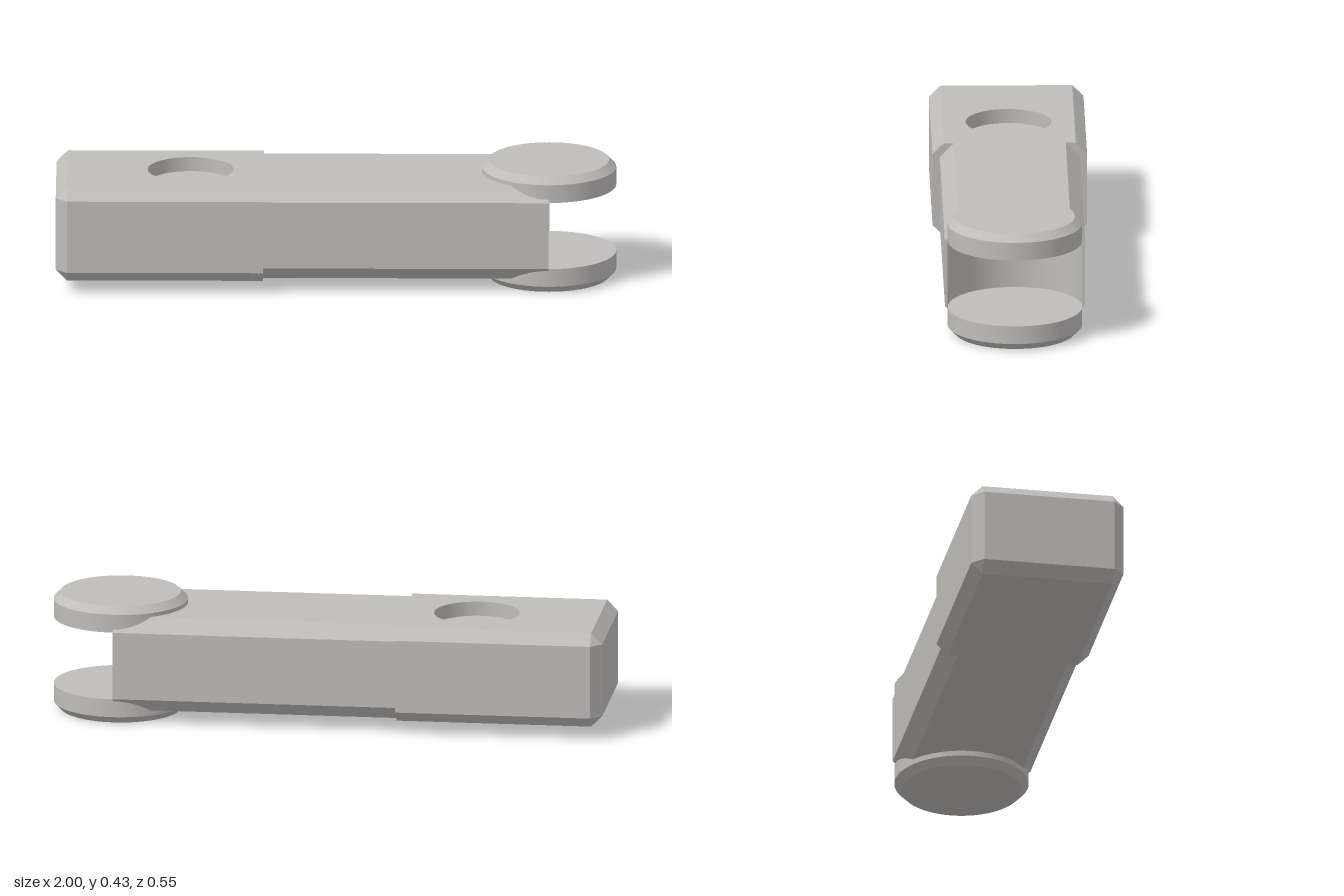
import * as THREE from 'three';
import { toCreasedNormals } from 'three/addons/utils/BufferGeometryUtils.js';

const TOP = 0.39, BOTTOM = 0.045;
const PIVOT_X = 0.76, PIVOT_R = 0.24;
const HEAD_START = -1, HEAD_END = -0.26;

// Collects flat quads (corners counter-clockwise from outside)
function quadBuilder() {
  const pos = [];
  return {
    quad(a, b, c, d) { pos.push(...a, ...b, ...c, ...a, ...c, ...d); },
    build() {
      const g = new THREE.BufferGeometry();
      g.setAttribute('position', new THREE.Float32BufferAttribute(pos, 3));
      g.computeVertexNormals();
      return g;
    },
  };
}

// Chamfered head block; the top face is left open for the drilled plate
function headGeometry(w, c) {
  const { quad, build } = quadBuilder();
  const wi = w - c, hi = TOP - c, lo = BOTTOM + c;
  const full = [[wi, TOP], [w, hi], [w, lo], [wi, BOTTOM], [-wi, BOTTOM], [-w, lo], [-w, hi], [-wi, TOP]];
  const small = full.map(([z, y]) => [Math.sign(z) * wi, THREE.MathUtils.clamp(y, lo, hi)]);
  const ring = (pts, x) => pts.map(([z, y]) => [x, y, z]);
  const rings = [ring(small, HEAD_START), ring(full, HEAD_START + c), ring(full, HEAD_END)];
  for (let s = 0; s < 2; s++) {
    for (let i = 0; i < 8; i++) {
      if (s === 1 && i === 7) continue;
      const j = (i + 1) % 8;
      quad(rings[s][i], rings[s][j], rings[s + 1][j], rings[s + 1][i]);
    }
  }
  const [e, , m] = rings;
  quad(e[7], e[4], e[3], e[0]);
  quad(m[0], m[1], m[6], m[7]);
  quad(m[1], m[2], m[5], m[6]);
  quad(m[2], m[3], m[4], m[5]);
  return build();
}

// Chamfered arm whose far end is scooped out to fit the round pivot
function armGeometry(w, c) {
  const { quad, build } = quadBuilder();
  const zs = [-w, w, c - w, w - c];
  for (let i = 0; i <= 40; i++) zs.push(PIVOT_R * Math.sin((i / 40 - 0.5) * Math.PI));
  zs.sort((a, b) => a - b);
  const columns = zs.map((z) => {
    const drop = Math.max(0, Math.abs(z) - (w - c));
    const x = PIVOT_X - Math.sqrt(Math.max(0, PIVOT_R ** 2 - z * z));
    const t = TOP - drop, b = BOTTOM + drop;
    return { t0: [HEAD_END, t, z], t1: [x, t, z], b0: [HEAD_END, b, z], b1: [x, b, z] };
  });
  for (let i = 0; i < columns.length - 1; i++) {
    const p = columns[i], q = columns[i + 1];
    quad(p.t0, q.t0, q.t1, p.t1);
    quad(q.b0, p.b0, p.b1, q.b1);
    quad(q.t1, q.b1, p.b1, p.t1);
  }
  const back = columns[0], front = columns[columns.length - 1];
  quad(front.t0, front.b0, front.b1, front.t1);
  quad(back.t1, back.b1, back.b0, back.t0);
  return toCreasedNormals(build(), 0.5);
}

export function createModel() {
  const model = new THREE.Group();
  model.name = 'pivotArm';
  const grey = new THREE.MeshStandardMaterial({ color: 0xbfbdba });
  grey.name = 'warmGrey';
  const add = (name, geometry, x = 0, y = 0, parent = model) => {
    const mesh = new THREE.Mesh(geometry, grey);
    mesh.name = name;
    mesh.position.set(x, y, 0);
    parent.add(mesh);
    return mesh;
  };

  // Head with a shallow round recess
  const head = new THREE.Group();
  head.name = 'head';
  model.add(head);
  const width = 0.276, chamfer = 0.04;
  const holeX = -0.52, holeR = 0.153, depth = 0.052;
  add('headBlock', headGeometry(width, chamfer), 0, 0, head);

  const zi = width - chamfer, x0 = HEAD_START + chamfer;
  const plate = new THREE.Shape([[x0, -zi], [HEAD_END, -zi], [HEAD_END, zi], [x0, zi]]
    .map(([x, y]) => new THREE.Vector2(x, y)));
  plate.holes.push(new THREE.Path().absarc(holeX, 0, holeR, 0, Math.PI * 2, true));
  add('headTop', new THREE.ShapeGeometry(plate, 32).rotateX(-Math.PI / 2), 0, TOP, head);

  const r = holeR;
  const recess = [[r, 0], [r, -depth], [0, -depth]].map(([x, y]) => new THREE.Vector2(x, y));
  // Profile runs downwards and inwards, so the faces point into the recess
  add('recess', toCreasedNormals(new THREE.LatheGeometry(recess, 64), 0.5), holeX, TOP, head);

  // Arm
  add('arm', armGeometry(0.25, 0.05));

  // Pair of pivot discs, each chamfered on its outer face
  const discH = 0.092, bevel = 0.026;
  const disc = [[0, 0], [PIVOT_R, 0], [PIVOT_R, discH - bevel], [PIVOT_R - bevel, discH], [0, discH]]
    .map(([x, y]) => new THREE.Vector2(x, y));
  const discGeometry = toCreasedNormals(new THREE.LatheGeometry(disc, 80), 0.5);
  add('upperDisc', discGeometry, PIVOT_X, 0.338);
  add('lowerDisc', discGeometry, PIVOT_X, discH).rotation.x = Math.PI;

  return model;
}
